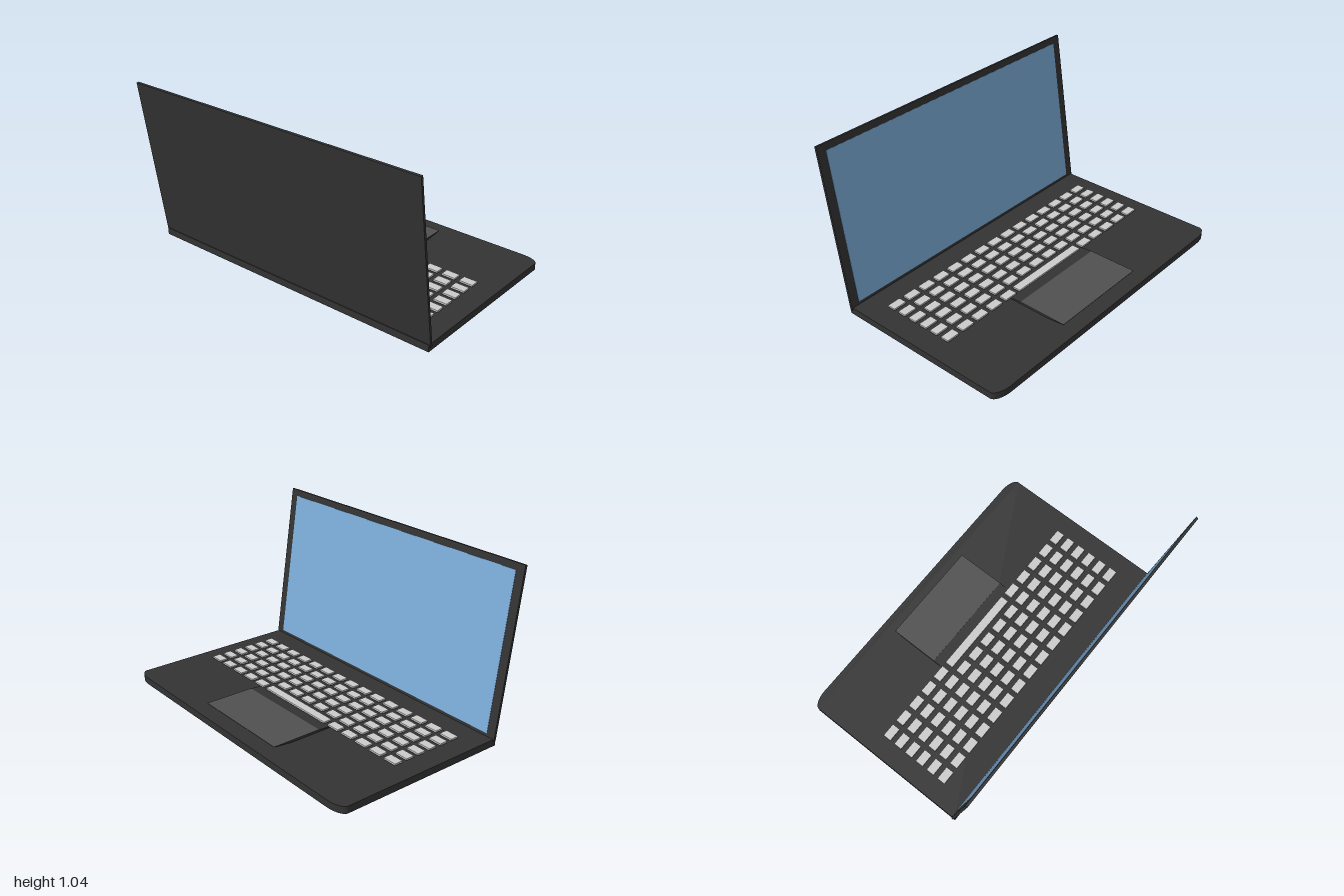
import * as THREE from 'three';

const paint = (color) => new THREE.MeshStandardMaterial({ color });
const dark = paint(0x333333), padGrey = paint(0x505050), keyGrey = paint(0xcccccc), glass = paint(0x7cadda);

function add(parent, name, geometry, material, x = 0, y = 0, z = 0) {
  const mesh = new THREE.Mesh(geometry, material);
  mesh.name = name;
  mesh.position.set(x, y, z);
  parent.add(mesh);
  return mesh;
}

export function createModel() {
  const model = new THREE.Group();
  model.name = 'laptop';
  const baseTop = 0.043;

  // Base slab: square at the hinge, rounded corners at the palm rest
  const w = 0.993, hinge = 0.495, palm = -0.628, rx = 0.11, rz = 0.05;
  const outline = new THREE.Shape();
  outline.moveTo(-w, hinge);
  outline.lineTo(-w, palm + rz);
  outline.absellipse(-w + rx, palm + rz, rx, rz, Math.PI, Math.PI * 1.5, false, 0);
  outline.lineTo(w - rx, palm);
  outline.absellipse(w - rx, palm + rz, rx, rz, Math.PI * 1.5, Math.PI * 2, false, 0);
  outline.lineTo(w, hinge);
  const slab = new THREE.ExtrudeGeometry(outline, { depth: baseTop, bevelEnabled: false, curveSegments: 10 });
  slab.rotateX(Math.PI / 2);
  add(model, 'base', slab, dark, 0, baseTop, 0);

  // Lid leaning back, with the display just proud of its inner face
  const lid = new THREE.Group();
  lid.name = 'lid';
  lid.position.set(0, 0.03, 0.481);
  lid.rotation.x = 0.14;
  model.add(lid);
  add(lid, 'lidPanel', new THREE.BoxGeometry(2, 1.017, 0.015), dark, 0, 0.5085, 0);
  add(lid, 'display', new THREE.BoxGeometry(1.888, 0.946, 0.004), glass, 0, 0.503, -0.007);

  // Trackpad: slanted plinth with a lighter touch surface on top
  const left = 0.345, right = -0.32, padTop = 0.056, front = -0.537, back = -0.222;
  const profile = new THREE.Shape([
    new THREE.Vector2(front, padTop), new THREE.Vector2(-0.41, 0.042),
    new THREE.Vector2(-0.047, 0.042), new THREE.Vector2(back, padTop),
  ]);
  const plinth = new THREE.ExtrudeGeometry(profile, { depth: left - right, bevelEnabled: false });
  plinth.rotateY(-Math.PI / 2);
  add(model, 'trackpadPlinth', plinth, dark, left, 0, 0);
  const surface = new THREE.BoxGeometry(left - right, 0.001, back - front);
  add(model, 'trackpad', surface, padGrey, (left + right) / 2, padTop + 0.0005, (front + back) / 2);

  // Keyboard: six rows of fifteen, the row nearest the palm rest has the space bar
  const keys = new THREE.Group();
  keys.name = 'keyboard';
  model.add(keys);
  const keyGeometry = new THREE.BoxGeometry(0.087, 0.011, 0.053);
  const pitchX = 0.118, pitchZ = 0.0843, middle = -0.004, keyY = 0.0615;
  for (let row = 0; row < 6; row++) {
    const z = 0.292 - row * pitchZ;
    for (let col = -7; col <= 7; col++) {
      if (row === 5 && Math.abs(col) <= 2) continue;
      add(keys, 'key', keyGeometry, keyGrey, middle + col * pitchX, keyY, z);
    }
  }
  const barGeometry = new THREE.BoxGeometry(0.087 + 4 * pitchX, 0.011, 0.053);
  add(keys, 'spaceBar', barGeometry, keyGrey, middle, keyY, 0.292 - 5 * pitchZ);

  return model;
}
